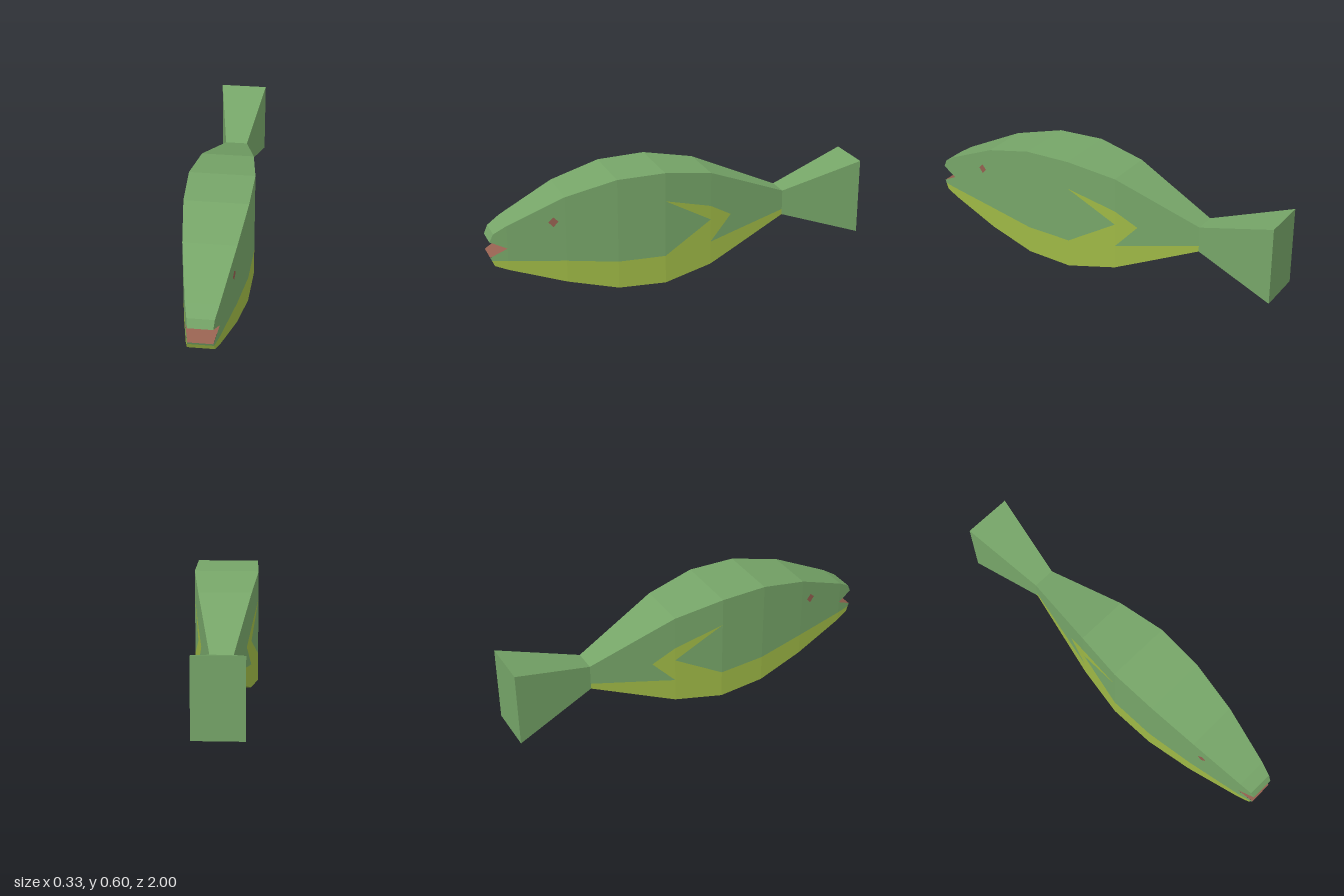
import * as THREE from 'three';

// half width of the body along its length: [z, half width], nose to tail
const WIDTHS = [[1, 0.06], [0.98, 0.065], [0.915, 0.08], [0.63, 0.13], [0.37, 0.16],
  [0.12, 0.167], [-0.14, 0.135], [-0.58, 0.058], [-1, 0.125]];

function halfWidth(z) {
  for (let i = 1; i < WIDTHS.length; i++) {
    const [z0, w0] = WIDTHS[i - 1], [z1, w1] = WIDTHS[i];
    if (z >= z1) return w0 + (w1 - w0) * (z - z0) / (z1 - z0);
  }
  return WIDTHS[WIDTHS.length - 1][1];
}

// adds a quad a-b-c-d, skipping triangles that collapse to a line
function quad(out, a, b, c, d) {
  const same = (p, q) => p.every((v, i) => v === q[i]);
  if (!same(a, b) && !same(b, c)) out.push(...a, ...b, ...c);
  if (!same(c, d) && !same(d, a)) out.push(...a, ...c, ...d);
}

// band on both flanks from [z, low y, high y] stations, nose to tail
function flank(out, stations, lift = 0) {
  for (let i = 1; i < stations.length; i++) {
    const [z0, l0, h0] = stations[i - 1], [z1, l1, h1] = stations[i];
    const x0 = halfWidth(z0) + lift, x1 = halfWidth(z1) + lift;
    quad(out, [x0, l0, z0], [x1, l1, z1], [x1, h1, z1], [x0, h0, z0]);
    quad(out, [-x0, h0, z0], [-x1, h1, z1], [-x1, l1, z1], [-x0, l0, z0]);
  }
}

// strip running across the body along a [z, y] outline
function across(out, outline) {
  for (let i = 1; i < outline.length; i++) {
    const [z0, y0] = outline[i - 1], [z1, y1] = outline[i];
    const x0 = halfWidth(z0), x1 = halfWidth(z1);
    quad(out, [x0, y0, z0], [x1, y1, z1], [-x1, y1, z1], [-x0, y0, z0]);
  }
}

export function createModel() {
  const group = new THREE.Group();
  const green = new THREE.MeshStandardMaterial({ color: 0x76a568, flatShading: true });
  const olive = new THREE.MeshStandardMaterial({ color: 0x9eb845, flatShading: true });
  const red = new THREE.MeshStandardMaterial({ color: 0x94604f, flatShading: true });

  function part(name, material, build) {
    const out = [];
    build(out);
    const geometry = new THREE.BufferGeometry();
    geometry.setAttribute('position', new THREE.Float32BufferAttribute(out, 3));
    geometry.computeVertexNormals();
    const mesh = new THREE.Mesh(geometry, material);
    mesh.name = name;
    group.add(mesh);
  }

  // back and flanks, with the gaps left by the side fins
  part('body', green, (o) => {
    across(o, [[1, 0.318], [0.98, 0.36], [0.915, 0.4], [0.63, 0.53], [0.37, 0.595],
      [0.12, 0.6], [-0.14, 0.555], [-0.58, 0.37]]);
    flank(o, [[0.915, 0.213, 0.4], [0.63, 0.19, 0.53], [0.37, 0.155, 0.595], [0.12, 0.15, 0.6]]);
    flank(o, [[0.12, 0.45, 0.6], [-0.14, 0.375, 0.555], [-0.26, 0.305, 0.505]]);
    flank(o, [[0.12, 0.15, 0.45], [-0.14, 0.3, 0.3]]);
    flank(o, [[-0.14, 0.175, 0.175], [-0.26, 0.2, 0.305]]);
    flank(o, [[-0.26, 0.2, 0.505], [-0.58, 0.265, 0.37]]);
  });

  part('upperJaw', green, (o) =>
    flank(o, [[1, 0.318, 0.318], [0.98, 0.31, 0.36], [0.915, 0.28, 0.4]]));

  part('lowerJaw', green, (o) => {
    flank(o, [[1, 0.235, 0.235], [0.993, 0.22, 0.238], [0.98, 0.217, 0.246], [0.915, 0.213, 0.28]]);
    across(o, [[0.993, 0.22], [1, 0.235]]);
  });

  part('belly', olive, (o) => {
    across(o, [[-0.58, 0.235], [-0.14, 0.05], [0.12, 0], [0.37, 0.01], [0.63, 0.075],
      [0.915, 0.165], [0.98, 0.19], [0.993, 0.22]]);
    flank(o, [[0.993, 0.22, 0.22], [0.98, 0.19, 0.217], [0.915, 0.165, 0.213],
      [0.63, 0.075, 0.19], [0.37, 0.01, 0.155], [0.12, 0, 0.15], [-0.14, 0.05, 0.3]]);
    flank(o, [[-0.14, 0.05, 0.175], [-0.26, 0.1, 0.2], [-0.58, 0.235, 0.265]]);
  });

  // pointed fin marking on each flank
  part('sideFins', olive, (o) => {
    flank(o, [[0.12, 0.45, 0.45], [-0.14, 0.3, 0.375]]);
    flank(o, [[-0.14, 0.175, 0.375], [-0.26, 0.305, 0.305]]);
  });

  part('tail', green, (o) => {
    across(o, [[-0.58, 0.37], [-1, 0.505], [-1, 0.1], [-0.58, 0.235]]);
    flank(o, [[-0.58, 0.235, 0.37], [-1, 0.1, 0.505]]);
  });

  part('mouth', red, (o) => {
    across(o, [[0.915, 0.28], [1, 0.318]]);
    across(o, [[1, 0.235], [0.915, 0.28]]);
  });

  part('eyes', red, (o) =>
    flank(o, [[0.715, 0.405, 0.405], [0.69, 0.378, 0.43], [0.665, 0.405, 0.405]], 0.003));

  return group;
}
